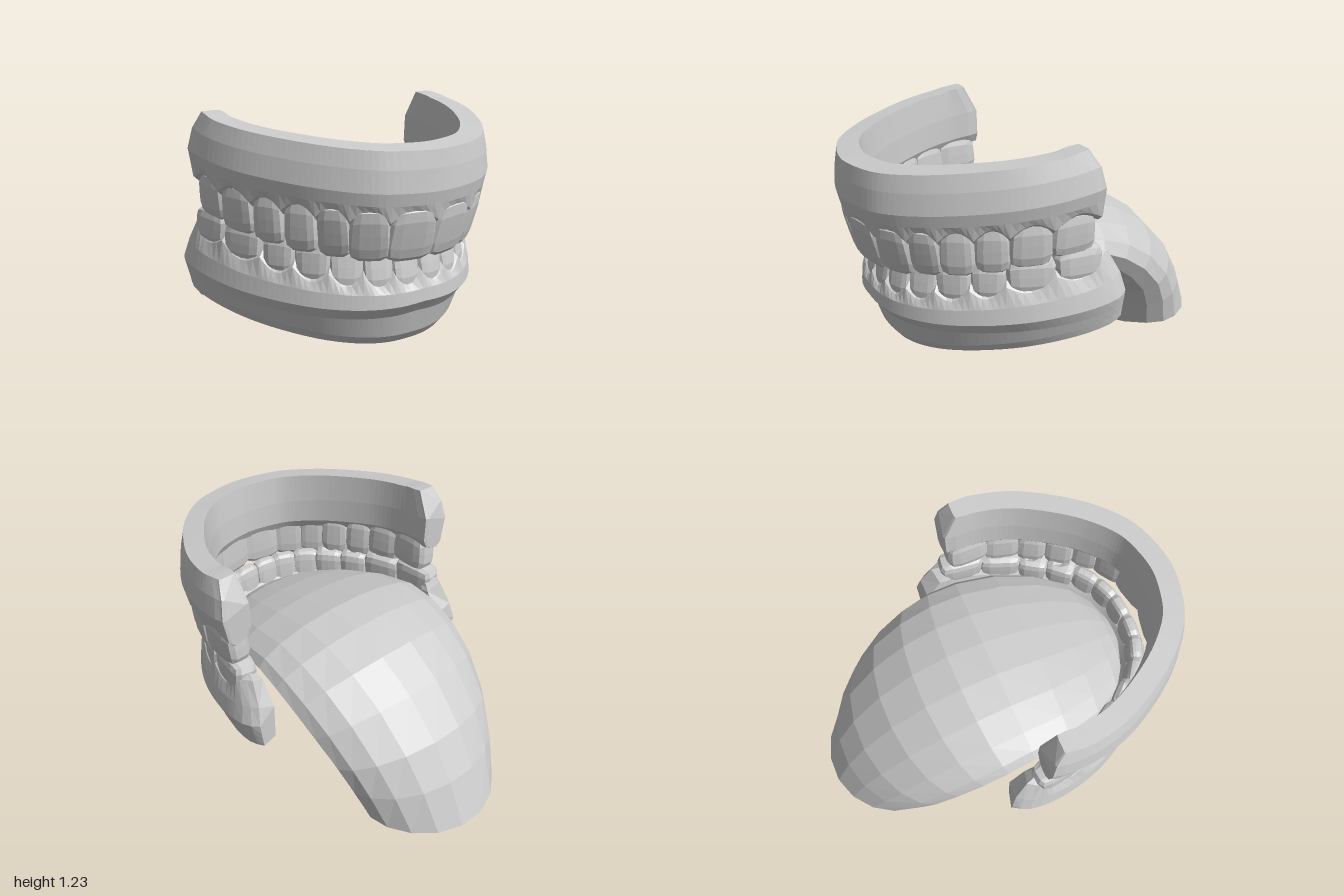
import * as THREE from 'three';

const grey = new THREE.MeshStandardMaterial({ color: 0xcccccc, flatShading: true });
grey.name = 'plain grey';
const lerp = THREE.MathUtils.lerp;

// Closed solid through equal rings of points, with laddered caps at both ends
function loft(rings) {
  const n = rings[0].length, pos = [], idx = [];
  rings.forEach(r => r.forEach(p => pos.push(p.x, p.y, p.z)));
  for (let i = 0; i < rings.length - 1; i++) for (let j = 0; j < n; j++) {
    const k = (j + 1) % n, a = i * n + j, b = i * n + k;
    idx.push(a, b, b + n, a, b + n, a + n);
  }
  const end = (rings.length - 1) * n;
  const capTri = (a, b, c) => idx.push(c, b, a, end + a, end + b, end + c);
  for (let j = 0; j + 1 < n - 1 - j; j++) {
    capTri(j, j + 1, n - 1 - j);
    if (j + 1 < n - 2 - j) capTri(j + 1, n - 2 - j, n - 1 - j);
  }
  const g = new THREE.BufferGeometry();
  g.setAttribute('position', new THREE.Float32BufferAttribute(pos, 3));
  g.setIndex(idx);
  g.computeVertexNormals();
  return g;
}

// Horseshoe curve, mirrored from half of its points (front to back)
function archCurve(half) {
  const right = half.map(([x, z]) => new THREE.Vector3(x, 0, z));
  const left = half.slice(1).reverse().map(([x, z]) => new THREE.Vector3(-x, 0, z));
  const curve = new THREE.CatmullRomCurve3([...left, ...right]);
  curve.arcLengthDivisions = 600;
  return curve;
}

// Point and outward direction at s: -1 right end, 0 front, 1 left end
function frame(curve, s) {
  const u = (s + 1) / 2, p = curve.getPointAt(u), t = curve.getTangentAt(u);
  return { p, n: new THREE.Vector3(-t.z, 0, t.x).normalize() };
}

// Starts of the teeth along half an arch, ending with the end of the last
function toothStops(widths, cover) {
  const total = widths.reduce((a, b) => a + b, 0);
  let sum = 0;
  return [0, ...widths.map(w => (sum += w) / total * cover)];
}

// Gum: a section of [inset, y, end shift] swept round the arch, scalloped at each tooth
function gum(curve, stops, section) {
  const half = [];
  for (let i = 0; i < stops.length - 1; i++)
    for (let k = 0; k < 6; k++)
      half.push([lerp(stops[i], stops[i + 1], k / 6), Math.sin(Math.PI * k / 6)]);
  const last = stops[stops.length - 1];
  [0, 0.4, 0.75, 1].forEach(k => half.push([lerp(last, 1, k), 0]));
  const all = [...half.slice(1).reverse().map(([s, c]) => [-s, c]), ...half];
  return loft(all.map(([s, scallop]) => {
    const { p, n } = frame(curve, s), t = Math.abs(s);
    const squeeze = t > 0.999 ? 0.3 : t > 0.97 ? 0.08 : 0;
    return section(p.z, t, scallop).map(([inset, y, shift = 0]) => {
      const q = p.clone().addScaledVector(n, -lerp(inset, 0.085, squeeze));
      q.y = y;
      q.z += shift * THREE.MathUtils.smoothstep(t, 0.82, 1);
      return q;
    });
  }));
}

// Tooth: rounded block, narrower at the root; molars get a dished biting face
function tooth(w, h, d, bite, molar) {
  const g = new THREE.BoxGeometry(2, 2, 2, 4, 4, 4), a = g.attributes.position;
  for (let i = 0; i < a.count; i++) {
    let x = a.getX(i), y = a.getY(i), z = a.getZ(i);
    const m = Math.max(Math.abs(x), Math.abs(y), Math.abs(z));
    const k = m / Math.pow(x ** 4 + y ** 4 + z ** 4, 0.25) * 1.04;
    const dish = molar && y * bite > 0.99 && Math.abs(x) + Math.abs(z) < 0.1 ? 0.8 : 1;
    x *= k; y *= k * dish; z *= k;
    const b = y * bite;
    x *= 0.94 + 0.06 * b;
    z *= molar ? 1 : 0.85 - 0.25 * b;
    a.setXYZ(i, x * w / 2, y * h / 2, z * d / 2);
  }
  g.computeVertexNormals();
  return g;
}

function teethRow(name, curve, stops, o) {
  const row = new THREE.Group(), len = curve.getLength() / 2;
  row.name = name;
  for (let i = 0; i < stops.length - 1; i++) for (const side of [-1, 1]) {
    const mid = (stops[i] + stops[i + 1]) / 2;
    const { p, n } = frame(curve, side * mid);
    const molar = i > 2, d = [0.11, 0.11, 0.11, 0.12, 0.13, 0.13, 0.13][i];
    const [low, high] = o.span(p.z);
    const w = (stops[i + 1] - stops[i]) * len * o.fit;
    const mesh = new THREE.Mesh(tooth(w, high - low, d, o.bite, molar), grey);
    mesh.name = (i < 2 ? 'incisor' : i < 3 ? 'canine' : i < 5 ? 'premolar' : 'molar');
    mesh.position.copy(p).addScaledVector(n, -0.033 - o.backInset * mid * mid - d / 2);
    mesh.position.y = (low + high) / 2;
    mesh.rotation.order = 'YXZ';
    mesh.rotation.set(molar ? o.tilt * 0.5 : o.tilt, Math.atan2(n.x, n.z), 0);
    row.add(mesh);
  }
  return row;
}

export function createModel() {
  const model = new THREE.Group();
  model.name = 'mouth';
  const add = (name, geometry) => {
    const mesh = new THREE.Mesh(geometry, grey);
    mesh.name = name;
    model.add(mesh);
  };

  // Upper jaw
  const upper = archCurve([[0, 1], [0.15, 0.98], [0.3, 0.925], [0.46, 0.79], [0.6, 0.6], [0.7, 0.4], [0.745, 0.2], [0.745, 0]]);
  const upperStops = toothStops([0.22, 0.17, 0.14, 0.15, 0.15, 0.19, 0.22], 0.99);
  add('upperGum', gum(upper, upperStops, (z, t, c) => {
    const top = 1.23 - 0.1 * z, line = 0.885 - 0.095 * z, edge = line + 0.05 * c;
    const thick = lerp(0.145, 0.165, t);
    return [
      [lerp(0.02, 0.05, t), top, 0.07], [lerp(0.008, 0.02, t), top - 0.08, 0.02], [0, top - 0.18],
      [0.012, lerp(line, top, 0.3)], [0.026, edge + 0.025], [0.055, edge],
      [thick - 0.02, line + 0.02], [thick + 0.005, line + 0.07], [thick, top - 0.14], [thick - 0.015, top + 0.014 * z, 0.07],
    ];
  }));
  model.add(teethRow('upperTeeth', upper, upperStops, {
    bite: -1, fit: 1, backInset: 0.01, tilt: 0.14,
    span: z => [0.75 - 0.125 * z, 0.955 - 0.07 * z],
  }));

  // Lower jaw
  const lower = archCurve([[0, 0.9], [0.15, 0.885], [0.3, 0.825], [0.45, 0.71], [0.59, 0.53], [0.69, 0.33], [0.745, 0.1], [0.745, -0.06], [0.715, -0.17]]);
  const lowerStops = toothStops([0.13, 0.13, 0.14, 0.15, 0.15, 0.21, 0.22], 0.895);
  add('lowerGum', gum(lower, lowerStops, (z, t, c) => {
    const base = 0.305 - 0.14 * z, line = 0.695 - 0.15 * z, edge = line - 0.05 * c;
    const foot = lerp(0.12, 0.03, t * t), lip = 0.035 * t * t;
    const bulge = lerp(0.4, 0.62, t);
    return [
      [0.05 + lip, edge, 0.14], [0.022 + lip, edge - 0.025, 0.08], [0.005 + lip * 0.6, lerp(line, base, bulge * 0.6), 0.02],
      [0, lerp(line, base, bulge)], [foot * 0.4, lerp(line, base, bulge + 0.16)], [foot * 0.7, lerp(line, base, 0.88)],
      [foot, base], [foot + 0.13, base + 0.02 * z], [foot * 0.6 + 0.15, lerp(line, base, 0.5)],
      [0.165, line - 0.07, 0.08], [0.13, line - 0.02, 0.14],
    ];
  }));
  model.add(teethRow('lowerTeeth', lower, lowerStops, {
    bite: 1, fit: 0.97, backInset: 0.02, tilt: -0.08,
    span: z => [0.6 - 0.14 * z, 0.768 - 0.11 * z],
  }));

  // Tongue: lens sections as [top z, top y, bottom z, bottom y, half width]
  const sections = [
    [0.745, 0.53, 0.73, 0.48, 0.1], [0.7, 0.58, 0.66, 0.45, 0.24], [0.62, 0.63, 0.57, 0.45, 0.36],
    [0.45, 0.7, 0.42, 0.46, 0.46], [0.24, 0.77, 0.23, 0.48, 0.52], [0, 0.82, 0.05, 0.49, 0.545],
    [-0.2, 0.81, -0.05, 0.44, 0.555], [-0.4, 0.75, -0.13, 0.37, 0.55], [-0.6, 0.625, -0.2, 0.3, 0.53],
    [-0.78, 0.435, -0.27, 0.22, 0.495], [-0.9, 0.24, -0.3, 0.13, 0.45], [-1, 0, -0.32, 0.03, 0.395],
  ];
  const sides = 18;
  add('tongue', loft(sections.map(([tz, ty, bz, by, w]) =>
    Array.from({ length: sides }, (_, j) => {
      const a = j / sides * Math.PI * 2, s = Math.sin(a);
      const k = (1 + Math.sign(s) * Math.abs(s) ** 1.15) / 2;
      return new THREE.Vector3(-w * Math.cos(a), lerp(by, ty, k), lerp(bz, tz, k));
    }))));

  return model;
}
